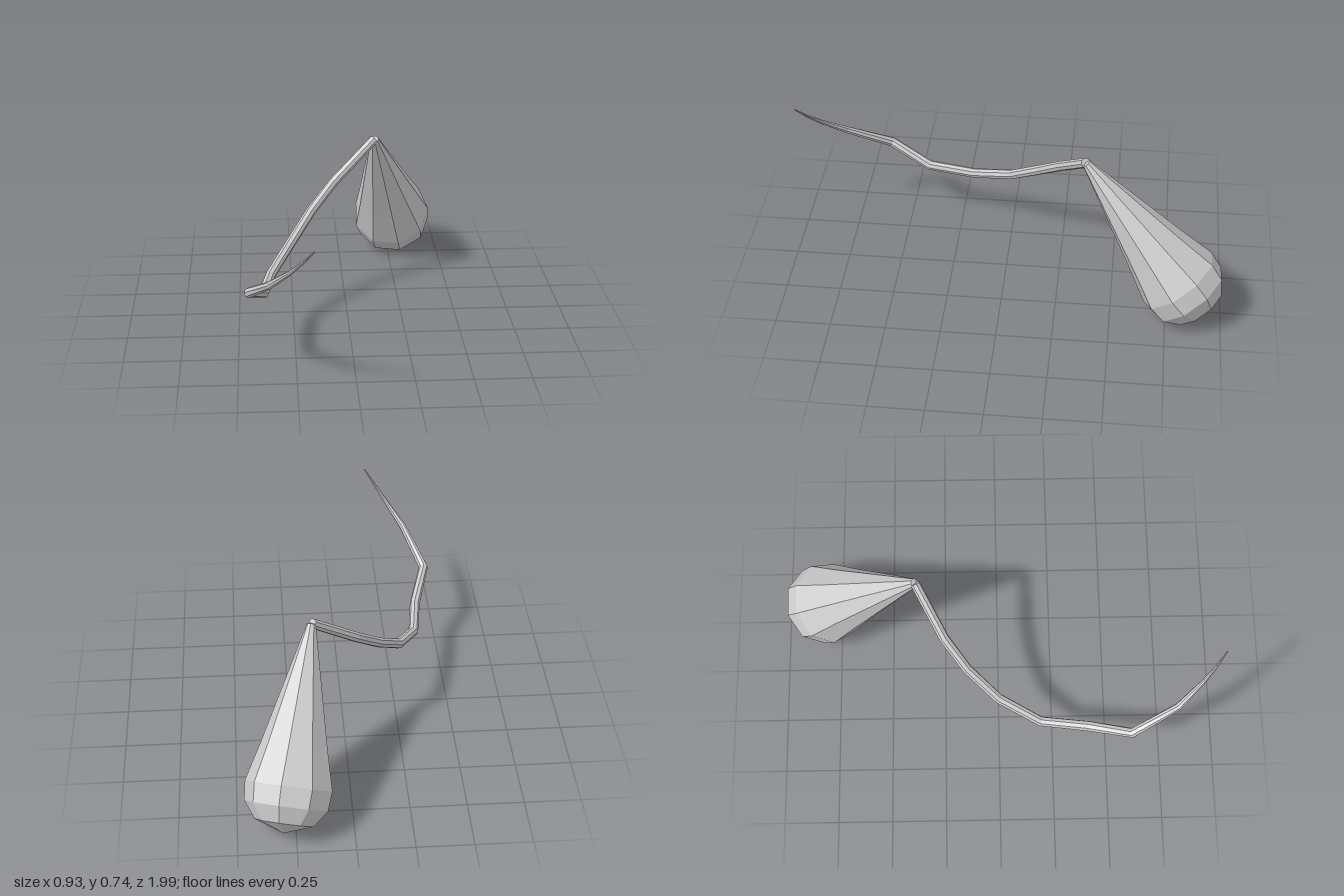
import * as THREE from 'three';

const material = new THREE.MeshStandardMaterial({ color: 0xcccccc, flatShading: true });

// Sweeps a round section of varying radius along [x, y, z, radius] stations, closed at both ends.
function taperedTube(stations, sides) {
  const points = stations.map(([x, y, z]) => new THREE.Vector3(x, y, z));
  const last = points.length - 1;
  const positions = [];
  const index = [];
  points.forEach((p, i) => {
    // Tangent bisects the two neighbouring segments so bends are mitred
    const tangent = new THREE.Vector3();
    if (i > 0) tangent.add(p.clone().sub(points[i - 1]).normalize());
    if (i < last) tangent.add(points[i + 1].clone().sub(p).normalize());
    tangent.normalize();
    const side = new THREE.Vector3(0, 1, 0).cross(tangent).normalize();
    const up = tangent.clone().cross(side);
    for (let j = 0; j < sides; j++) {
      const a = (j / sides) * Math.PI * 2;
      const r = stations[i][3];
      const v = p.clone().addScaledVector(side, Math.cos(a) * r).addScaledVector(up, Math.sin(a) * r);
      positions.push(v.x, v.y, v.z);
    }
  });
  for (let i = 0; i < last; i++) {
    for (let j = 0; j < sides; j++) {
      const k = (j + 1) % sides;
      const a = i * sides + j, b = i * sides + k;
      index.push(a, b, b + sides, a, b + sides, a + sides);
    }
  }
  // End caps
  const end = last * sides;
  for (let j = 1; j < sides - 1; j++) {
    index.push(0, j + 1, j, end, end + j, end + j + 1);
  }
  const geometry = new THREE.BufferGeometry();
  geometry.setAttribute('position', new THREE.Float32BufferAttribute(positions, 3));
  geometry.setIndex(index);
  geometry.computeVertexNormals();
  return geometry;
}

export function createModel() {
  const group = new THREE.Group();

  // Curved stalk, thinning to a point at the front
  const stalk = new THREE.Mesh(taperedTube([
    [0.148, 0.73, -0.362, 0.022],
    [-0.05, 0.562, -0.24, 0.023],
    [-0.16, 0.455, -0.14, 0.023],
    [-0.265, 0.342, 0, 0.023],
    [-0.355, 0.272, 0.19, 0.023],
    [-0.385, 0.282, 0.41, 0.024],
    [-0.445, 0.365, 0.6, 0.023],
    [-0.36, 0.48, 0.8, 0.017],
    [-0.28, 0.572, 0.9, 0.010],
    [-0.23, 0.635, 0.955, 0.006],
    [-0.182, 0.7, 0.998, 0.003],
  ], 8), material);
  stalk.name = 'stalk';
  group.add(stalk);

  // Teardrop bulb hanging back from the top of the stalk
  const profile = [
    [0, 0], [0.02, 0.005], [0.145, 0.52], [0.192, 0.696],
    [0.184, 0.78], [0.13, 0.852], [0, 0.897],
  ].map(([r, y]) => new THREE.Vector2(r, y));
  const bulb = new THREE.Mesh(new THREE.LatheGeometry(profile, 9), material);
  bulb.name = 'bulb';
  const top = new THREE.Vector3(0.15, 0.733, -0.362);
  const axis = new THREE.Vector3(0.27, 0.205, -0.8).sub(top).normalize();
  const front = new THREE.Vector3(0, 0, 1).addScaledVector(axis, -axis.z).normalize();
  const across = axis.clone().cross(front);
  bulb.quaternion.setFromRotationMatrix(new THREE.Matrix4().makeBasis(across, axis, front));
  bulb.position.copy(top);
  group.add(bulb);

  return group;
}
